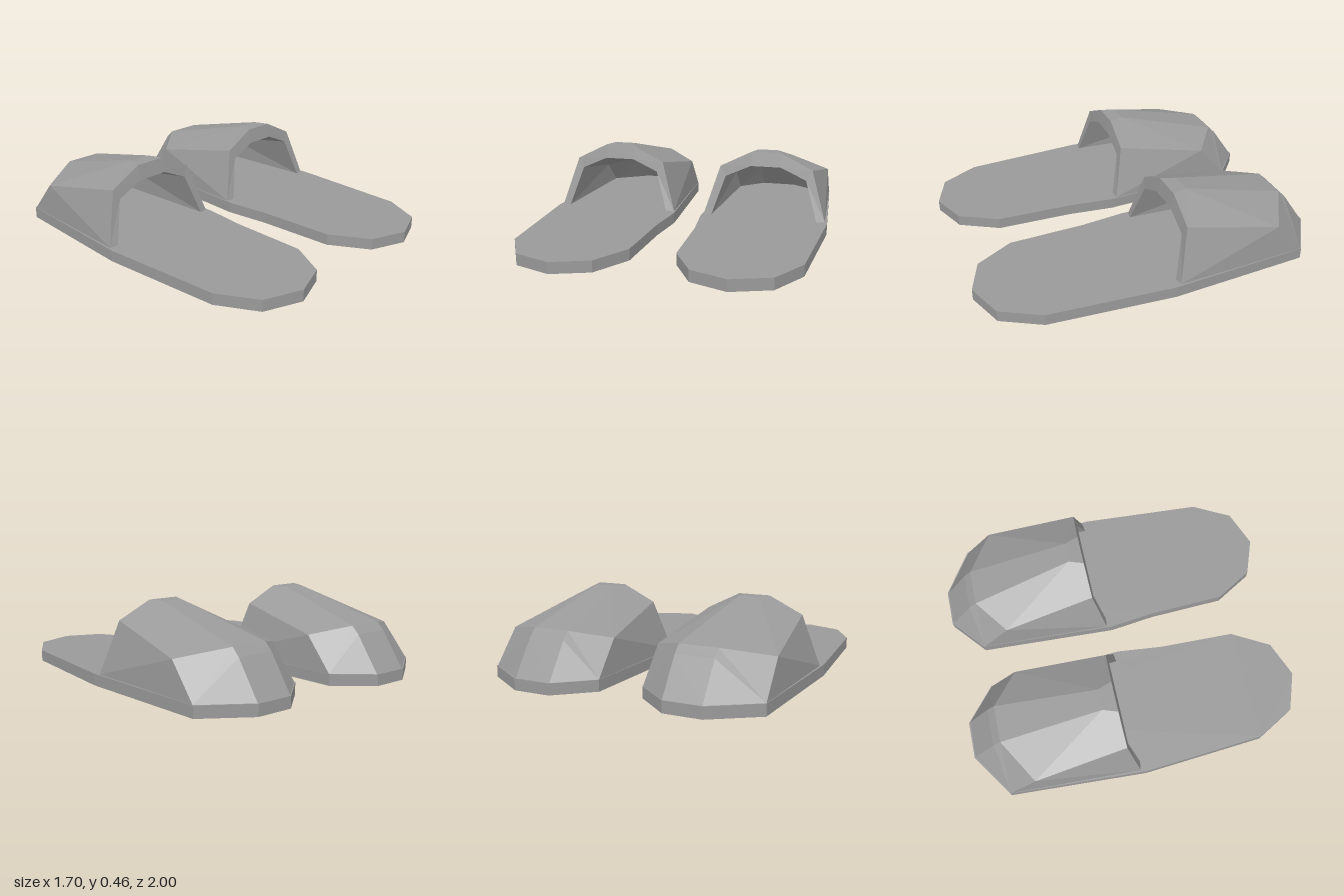
import * as THREE from 'three';

const SOLE_TOP = 0.065;
const CENTRE = 0.465; // distance of each slipper from the middle
const TOE = -0.03; // the toe leans towards the other slipper
const material = new THREE.MeshStandardMaterial({ color: 0x9a9a9a, flatShading: true });

// Sole outline for the +x slipper as [x, z], toe at -z
const outline = [
  [0.33, -1], [0.545, -1], [0.8, -0.83], [0.85, -0.02], [0.8, 0.7], [0.68, 0.92],
  [0.465, 1], [0.255, 0.92], [0.13, 0.7], [0.115, 0.25], [0.085, -0.02], [0.13, -0.83],
];

// Half of the upper's shell: [distance from centre line, y, z, shift of the centre line]
const outer = {
  rimBase: [0.37, SOLE_TOP, -0.053, 0], rimShoulder: [0.28, 0.36, -0.117, 0],
  rimTop: [0.09, 0.455, -0.125, 0], ridge: [0.06, 0.455, -0.21, 0],
  shoulder: [0.33, 0.255, -0.66, 0], top: [0.107, 0.305, -0.81, TOE],
  brow: [0.107, 0.262, -0.855, TOE], base: [0.333, SOLE_TOP, -0.825, 0],
  toe: [0.107, SOLE_TOP, -0.993, TOE],
};
const inner = {
  rimBase: [0.32, SOLE_TOP, -0.045, 0], rimShoulder: [0.245, 0.3, -0.104, 0],
  rimTop: [0.09, 0.37, -0.108, 0], ridge: [0.06, 0.375, -0.21, 0],
  shoulder: [0.28, 0.2, -0.64, 0], top: [0.105, 0.24, -0.77, TOE],
  brow: [0.105, 0.2, -0.81, TOE], base: [0.28, SOLE_TOP, -0.79, 0],
  toe: [0.105, SOLE_TOP, -0.93, TOE],
};

// Facets of one half, and the strip bridging both halves
const sideFaces = [
  ['rimBase', 'base', 'shoulder'], ['rimBase', 'shoulder', 'rimShoulder'],
  ['base', 'toe', 'brow'], ['base', 'brow', 'top'], ['base', 'top', 'shoulder'],
  ['rimShoulder', 'shoulder', 'ridge'], ['rimShoulder', 'ridge', 'rimTop'],
  ['ridge', 'shoulder', 'top'],
];
const middle = ['rimTop', 'ridge', 'top', 'brow', 'toe'];
const rim = ['rimBase', 'rimShoulder', 'rimTop'];

function upperGeometry(side) {
  const positions = [];
  const right = ([x, y, z, shift]) => [x + side * shift, y, z];
  const left = ([x, y, z, shift]) => [-x + side * shift, y, z];
  const tri = (a, b, c) => positions.push(...a, ...b, ...c);
  const both = (a, b, c) => {
    tri(right(a), right(b), right(c));
    tri(left(a), left(c), left(b));
  };
  // Quad from edge a to edge b across the centre line
  const bridge = (a, b) => {
    tri(right(a), right(b), left(b));
    tri(right(a), left(b), left(a));
  };

  // Outer skin, and the lining with its winding reversed
  for (const [a, b, c] of sideFaces) {
    both(outer[a], outer[b], outer[c]);
    both(inner[a], inner[c], inner[b]);
  }
  for (let i = 0; i < middle.length - 1; i++) {
    bridge(outer[middle[i]], outer[middle[i + 1]]);
    bridge(inner[middle[i + 1]], inner[middle[i]]);
  }

  // Rim of the foot opening
  for (let i = 0; i < rim.length - 1; i++) {
    const a = outer[rim[i]], b = outer[rim[i + 1]], c = inner[rim[i + 1]], d = inner[rim[i]];
    both(a, b, c);
    both(a, c, d);
  }
  bridge(inner.rimTop, outer.rimTop);

  const geometry = new THREE.BufferGeometry();
  geometry.setAttribute('position', new THREE.Float32BufferAttribute(positions, 3));
  geometry.computeVertexNormals();
  return geometry;
}

function soleGeometry(side) {
  const shape = new THREE.Shape(outline.map(([x, z]) => new THREE.Vector2(side * (x - CENTRE), -z)));
  return new THREE.ExtrudeGeometry(shape, { depth: SOLE_TOP, bevelEnabled: false }).rotateX(-Math.PI / 2);
}

function createSlipper(side) {
  const slipper = new THREE.Group();
  slipper.name = side > 0 ? 'leftSlipper' : 'rightSlipper';
  const sole = new THREE.Mesh(soleGeometry(side), material);
  sole.name = 'sole';
  const upper = new THREE.Mesh(upperGeometry(side), material);
  upper.name = 'upper';
  slipper.add(sole, upper);
  slipper.position.x = side * CENTRE;
  return slipper;
}

export function createModel() {
  const model = new THREE.Group();
  model.name = 'slippers';
  for (const side of [1, -1]) model.add(createSlipper(side));
  return model;
}
